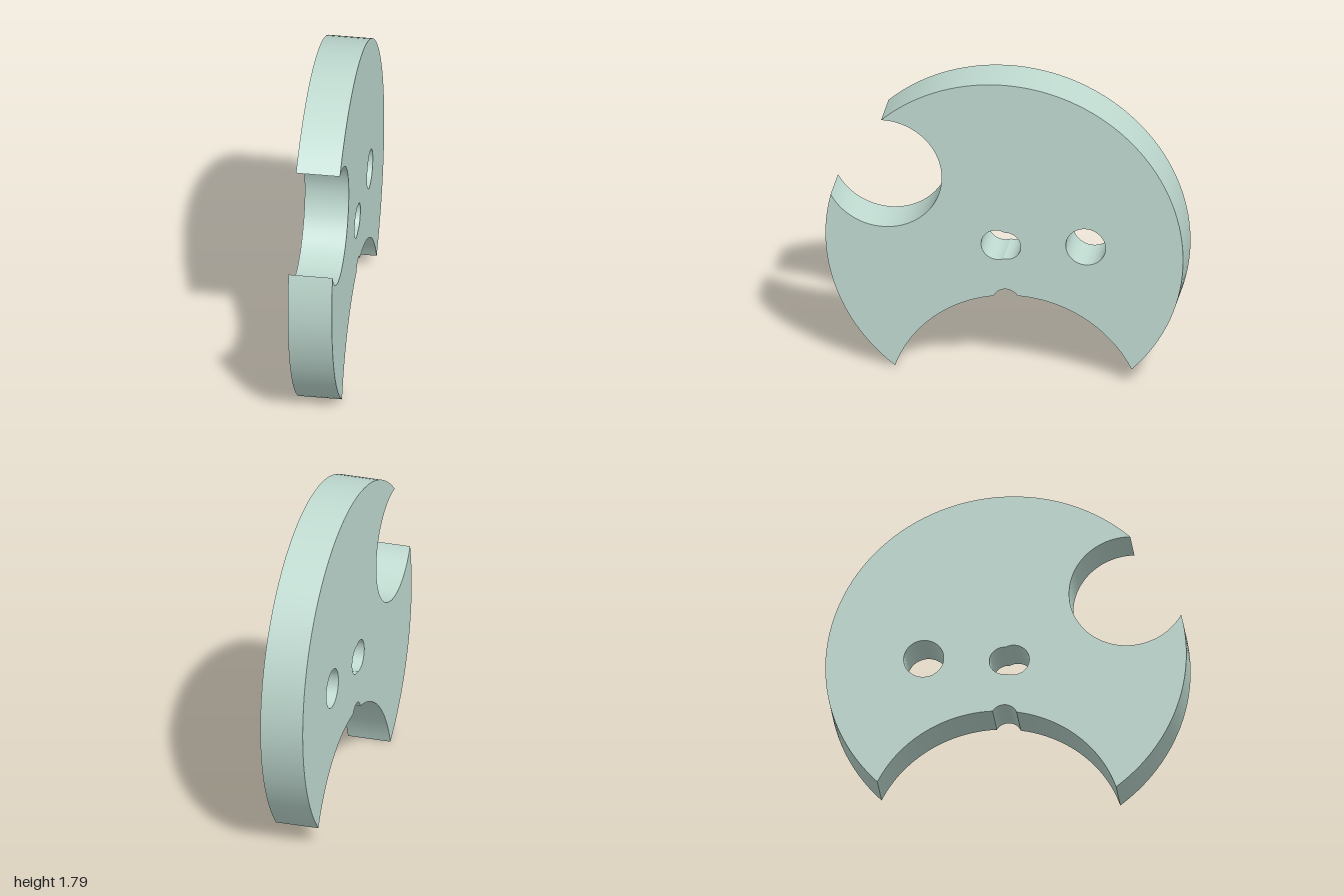
import * as THREE from 'three';
import { toCreasedNormals } from 'three/addons/utils/BufferGeometryUtils.js';

const THICKNESS = 0.245;

// Circles in the plate's plane: x = depth (z), y = height
const circle = (x, y, r) => ({ x, y, r });
const rim = circle(0, 0.795, 1);
const sideBite = circle(0.68, 1.19, 0.33);
const bottomBite = circle(-0.069, -0.221, 0.715);
const nick = circle(-0.01, 0.456, 0.074);
const slotFront = circle(0.04, 0.8, 0.09);
const slotBack = circle(-0.01, 0.798, 0.082);
const roundHole = circle(-0.455, 0.83, 0.111);

// Where two circles cross; side +1 or -1 picks left or right of the line a -> b
function crossing(a, b, side) {
  const dx = b.x - a.x, dy = b.y - a.y, d = Math.hypot(dx, dy);
  const t = (a.r * a.r - b.r * b.r + d * d) / (2 * d);
  const h = side * Math.sqrt(a.r * a.r - t * t);
  return new THREE.Vector2(a.x + (dx * t - dy * h) / d, a.y + (dy * t + dx * h) / d);
}

// Points along a circle from p towards q (q itself excluded)
function arc(c, p, q, clockwise) {
  const start = Math.atan2(p.y - c.y, p.x - c.x);
  let sweep = Math.atan2(q.y - c.y, q.x - c.x) - start;
  if (clockwise && sweep >= 0) sweep -= 2 * Math.PI;
  if (!clockwise && sweep <= 0) sweep += 2 * Math.PI;
  const n = Math.max(8, Math.ceil(Math.abs(sweep) / 0.05));
  return Array.from({ length: n }, (_, i) => {
    const a = start + (sweep * i) / n;
    return new THREE.Vector2(c.x + c.r * Math.cos(a), c.y + c.r * Math.sin(a));
  });
}

export function createModel() {
  const model = new THREE.Group();
  model.name = 'notchedDisc';

  // Corners of the outline
  const frontTip = crossing(rim, bottomBite, 1);
  const backTip = crossing(rim, bottomBite, -1);
  const biteLow = crossing(rim, sideBite, -1);
  const biteHigh = crossing(rim, sideBite, 1);
  const nickBack = crossing(bottomBite, nick, 1);
  const nickFront = crossing(bottomBite, nick, -1);

  // Outline: rim arcs run one way, the cut-outs the other
  const outline = new THREE.Shape([
    ...arc(rim, frontTip, biteLow, false),
    ...arc(sideBite, biteLow, biteHigh, true),
    ...arc(rim, biteHigh, backTip, false),
    ...arc(bottomBite, backTip, nickBack, true),
    ...arc(nick, nickBack, nickFront, true),
    ...arc(bottomBite, nickFront, frontTip, true),
  ]);

  // Centre slot of two overlapping circles, and the round hole behind it
  const slotTop = crossing(slotBack, slotFront, 1);
  const slotBottom = crossing(slotBack, slotFront, -1);
  outline.holes.push(
    new THREE.Path([
      ...arc(slotFront, slotTop, slotBottom, true),
      ...arc(slotBack, slotBottom, slotTop, true),
    ]),
    new THREE.Path().absarc(roundHole.x, roundHole.y, roundHole.r, 0, Math.PI * 2, true),
  );

  // Plate, turned so the outline lies in the z-y plane
  const extruded = new THREE.ExtrudeGeometry(outline, {
    depth: THICKNESS, bevelEnabled: false, curveSegments: 32,
  });
  extruded.translate(0, 0, -THICKNESS / 2).rotateY(-Math.PI / 2);
  const plate = new THREE.Mesh(
    toCreasedNormals(extruded, 0.4),
    new THREE.MeshStandardMaterial({ color: 0xc0dbd1 }),
  );
  plate.name = 'plate';
  model.add(plate);
  return model;
}
